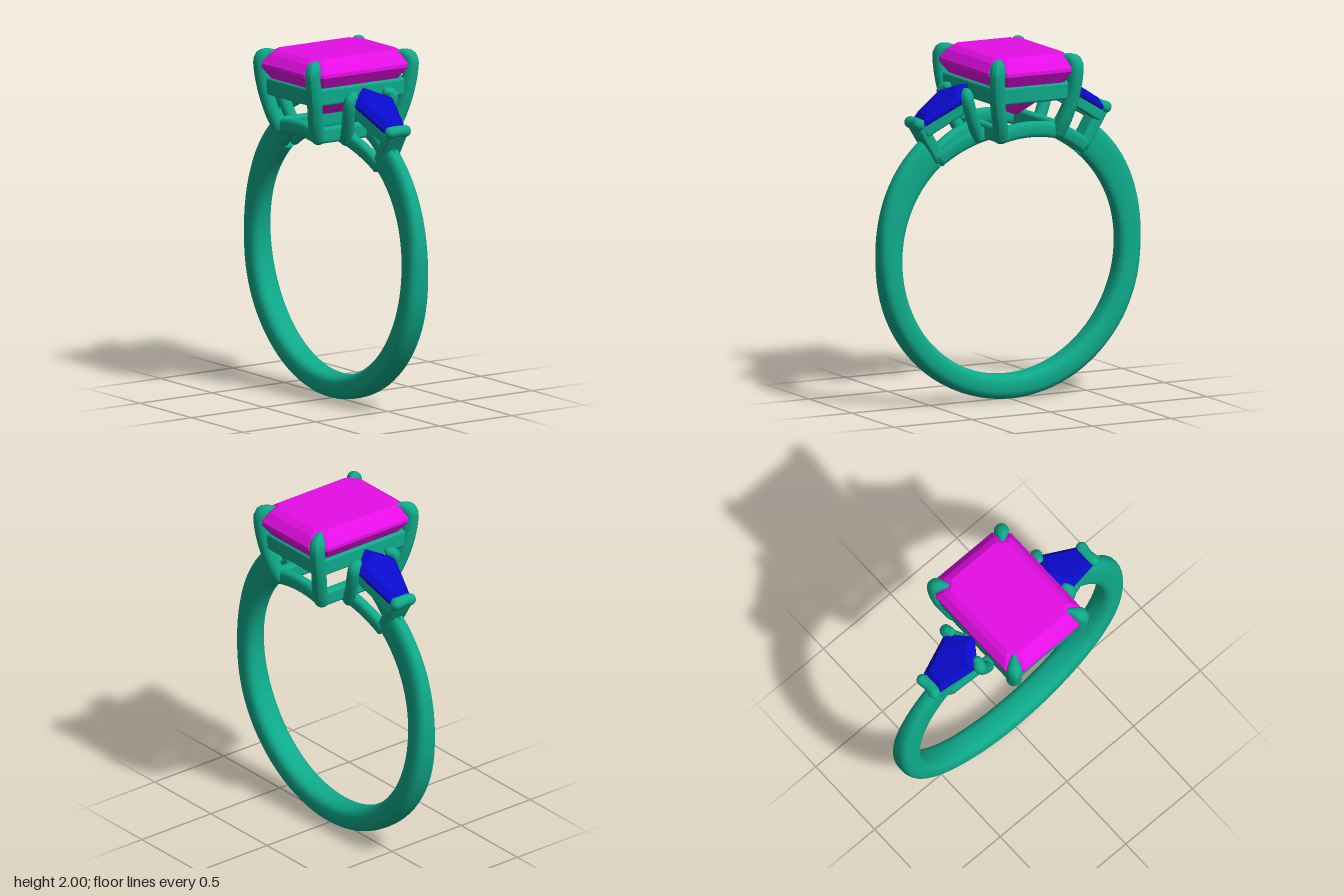
import * as THREE from 'three';
import { RoundedBoxGeometry } from 'three/addons/geometries/RoundedBoxGeometry.js';

const metal = new THREE.MeshStandardMaterial({ color: 0x0ea98a });
const pink = new THREE.MeshStandardMaterial({ color: 0xe60ee6, flatShading: true });
const blue = new THREE.MeshStandardMaterial({ color: 0x0a0acc, flatShading: true });
const CY = 0.84, R_IN = 0.69;
const rad = THREE.MathUtils.degToRad;
const V = (p) => new THREE.Vector3(...p);

function add(parent, name, geometry, material = metal) {
  const mesh = new THREE.Mesh(geometry, material);
  mesh.name = name;
  parent.add(mesh);
  return mesh;
}

// Rounded-rectangle section swept round the finger hole; spec(angle, t) gives outer radius, z centre, half width
function arcSweep(a0, a1, steps, spec) {
  const n = 24, pos = [], idx = [];
  const power = (v) => Math.sign(v) * Math.abs(v) ** 0.72;
  for (let i = 0; i <= steps; i++) {
    const t = i / steps, a = rad(a0 + (a1 - a0) * t);
    const { out, z, half } = spec(a, t);
    const mid = (R_IN + out) / 2, h = (out - R_IN) / 2;
    for (let j = 0; j < n; j++) {
      const f = (j / n) * Math.PI * 2;
      const r = mid + h * power(Math.cos(f));
      pos.push(r * Math.cos(a), CY + r * Math.sin(a), z + half * power(Math.sin(f)));
    }
  }
  for (let i = 0; i < steps; i++) for (let j = 0; j < n; j++) {
    const a = i * n + j, b = i * n + (j + 1) % n;
    idx.push(a, a + n, b, b, a + n, b + n);
  }
  for (let j = 1; j < n - 1; j++) {
    const e = steps * n;
    idx.push(0, j, j + 1, e, e + j + 1, e + j);
  }
  const g = new THREE.BufferGeometry();
  g.setAttribute('position', new THREE.Float32BufferAttribute(pos, 3));
  g.setIndex(idx);
  g.computeVertexNormals();
  return g;
}

// Round wire with ball ends; the first end can be tapered
function rod(parent, name, points, r, tip = 1) {
  const group = new THREE.Group();
  group.name = name;
  const curve = new THREE.CatmullRomCurve3(points.map(V), false, 'centripetal');
  const N = 28, M = 14, v = new THREE.Vector3();
  const g = new THREE.TubeGeometry(curve, N, r, M, false), p = g.attributes.position;
  for (let i = 0; i <= N; i++) {
    const c = curve.getPointAt(i / N);
    const k = tip + (1 - tip) * Math.min(1, i / N / 0.12);
    for (let j = 0; j <= M; j++) {
      const q = i * (M + 1) + j;
      v.fromBufferAttribute(p, q).sub(c).multiplyScalar(k).add(c);
      p.setXYZ(q, v.x, v.y, v.z);
    }
  }
  g.computeVertexNormals();
  add(group, name + 'Wire', g);
  [[0, r * tip], [1, r]].forEach(([u, s]) =>
    add(group, name + 'End', new THREE.SphereGeometry(s, 16, 10)).position.copy(curve.getPoint(u)));
  parent.add(group);
}

// Soft-edged bar between two points
function bar(parent, name, a, b, w, h) {
  const from = V(a), to = V(b);
  const g = new RoundedBoxGeometry(w, h, from.distanceTo(to), 3, Math.min(w, h) * 0.3);
  const mesh = add(parent, name, g);
  mesh.position.copy(from).add(to).multiplyScalar(0.5);
  mesh.lookAt(to);
}

// Faceted stone lofted through rings of [x, z] corners, listed from top to bottom
function gem(levels) {
  const pos = [], n = levels[0].ring.length;
  const pt = (l, i) => { const [x, z] = l.ring[i % n]; return [x, l.y, z]; };
  for (let k = 0; k < levels.length - 1; k++) for (let i = 0; i < n; i++) {
    const t = levels[k], b = levels[k + 1];
    pos.push(...pt(b, i), ...pt(b, i + 1), ...pt(t, i + 1));
    pos.push(...pt(b, i), ...pt(t, i + 1), ...pt(t, i));
  }
  const top = levels[0], low = levels[levels.length - 1];
  for (let i = 1; i < n - 1; i++) {
    pos.push(...pt(top, 0), ...pt(top, i), ...pt(top, i + 1));
    pos.push(...pt(low, 0), ...pt(low, i + 1), ...pt(low, i));
  }
  const g = new THREE.BufferGeometry();
  g.setAttribute('position', new THREE.Float32BufferAttribute(pos, 3));
  g.computeVertexNormals();
  return g;
}

const octagon = (x, z, c) => [[x, z - c], [x, c - z], [x - c, -z], [c - x, -z],
  [-x, c - z], [-x, z - c], [c - x, z], [x - c, z]];

function createCentreSetting() {
  const s = new THREE.Group();
  s.name = 'centreSetting';
  // Step-cut stone: y, half x, half z, corner cut
  const steps = [[2, 0.215, 0.29, 0.05], [1.975, 0.25, 0.33, 0.065], [1.925, 0.285, 0.37, 0.08],
    [1.905, 0.285, 0.37, 0.08], [1.84, 0.24, 0.325, 0.07], [1.74, 0.13, 0.225, 0.04], [1.635, 0.006, 0.1, 0.003]];
  add(s, 'centreStone', gem(steps.map(([y, x, z, c]) => ({ y, ring: octagon(x, z, c) }))), pink);
  for (const k of [-1, 1]) {
    // Upper and lower basket rails
    bar(s, 'upperRailLong', [k * 0.235, 1.79, -0.31], [k * 0.235, 1.79, 0.31], 0.05, 0.1);
    bar(s, 'upperRailShort', [-0.235, 1.79, k * 0.31], [0.235, 1.79, k * 0.31], 0.05, 0.1);
    bar(s, 'lowerRailLong', [k * 0.185, 1.56, -0.25], [k * 0.185, 1.56, 0.25], 0.06, 0.09);
    add(s, 'lowerRailShort', arcSweep(75, 105, 16, () => ({ out: 0.78, z: k * 0.25, half: 0.032 })));
    // Corner prongs, hooked over the stone
    for (const m of [-1, 1]) {
      const path = [[0.208, 1.98, 0.285], [0.228, 1.972, 0.31], [0.249, 1.945, 0.337], [0.25, 1.89, 0.338],
        [0.238, 1.76, 0.318], [0.205, 1.62, 0.285], [0.185, 1.55, 0.255]];
      rod(s, 'cornerProng', path.map(([x, y, z]) => [k * x, y, m * z]), 0.043, 0.4);
    }
  }
  return s;
}

function createSideSetting() {
  const s = new THREE.Group();
  s.name = 'sideSetting';
  // Shield-shaped stone, sloping outwards
  const outline = [[0.18, 0.07], [0.18, -0.07], [-0.08, -0.135], [-0.19, 0], [-0.08, 0.135]];
  const levels = [[0.035, 0.72], [0.005, 1], [-0.012, 1], [-0.055, 0.6]].map(([y, k]) =>
    ({ y, ring: outline.map(([x, z]) => [x * k, z * k]) }));
  const stone = add(s, 'sideStone', gem(levels), blue);
  stone.position.set(0.42, 1.715, 0);
  stone.rotation.z = -0.55;
  // Shoulder plate and the lip that holds the stone's outer end
  bar(s, 'shoulderPlate', [0.45, 1.395, 0], [0.595, 1.635, 0], 0.13, 0.07);
  rod(s, 'shoulderLip', [[0.597, 1.62, -0.05], [0.59, 1.62, 0], [0.597, 1.62, 0.05]], 0.034);
  for (const m of [-1, 1]) {
    bar(s, 'sideUpperRail', [0.56, 1.575, m * 0.045], [0.32, 1.72, m * 0.105], 0.045, 0.07);
    add(s, 'sideLowerRail', arcSweep(50, 75, 16, (a, t) =>
      ({ out: 0.775, z: m * (0.035 + 0.06 * t), half: 0.032 })));
    const path = [[0.33, 1.792, 0.115], [0.338, 1.78, 0.14], [0.333, 1.74, 0.145],
      [0.295, 1.63, 0.128], [0.245, 1.53, 0.105]];
    rod(s, 'sideProng', path.map(([x, y, z]) => [x, y, m * z]), 0.036, 0.75);
  }
  return s;
}

export function createModel() {
  const ring = new THREE.Group();
  ring.name = 'ring';
  // Band: narrower and taller towards the shoulders
  add(ring, 'band', arcSweep(-231, 51, 120, (a) => {
    const s = Math.sin(a);
    return {
      out: 0.83 + 0.055 * THREE.MathUtils.smoothstep(s, -0.1, 0.75),
      z: 0,
      half: 0.08 - 0.032 * THREE.MathUtils.smoothstep(s, -0.6, 0.8),
    };
  })).position.y = -0.01;
  ring.add(createCentreSetting());
  for (const turn of [0, Math.PI]) {
    const side = createSideSetting();
    side.rotation.y = turn;
    ring.add(side);
  }
  return ring;
}
